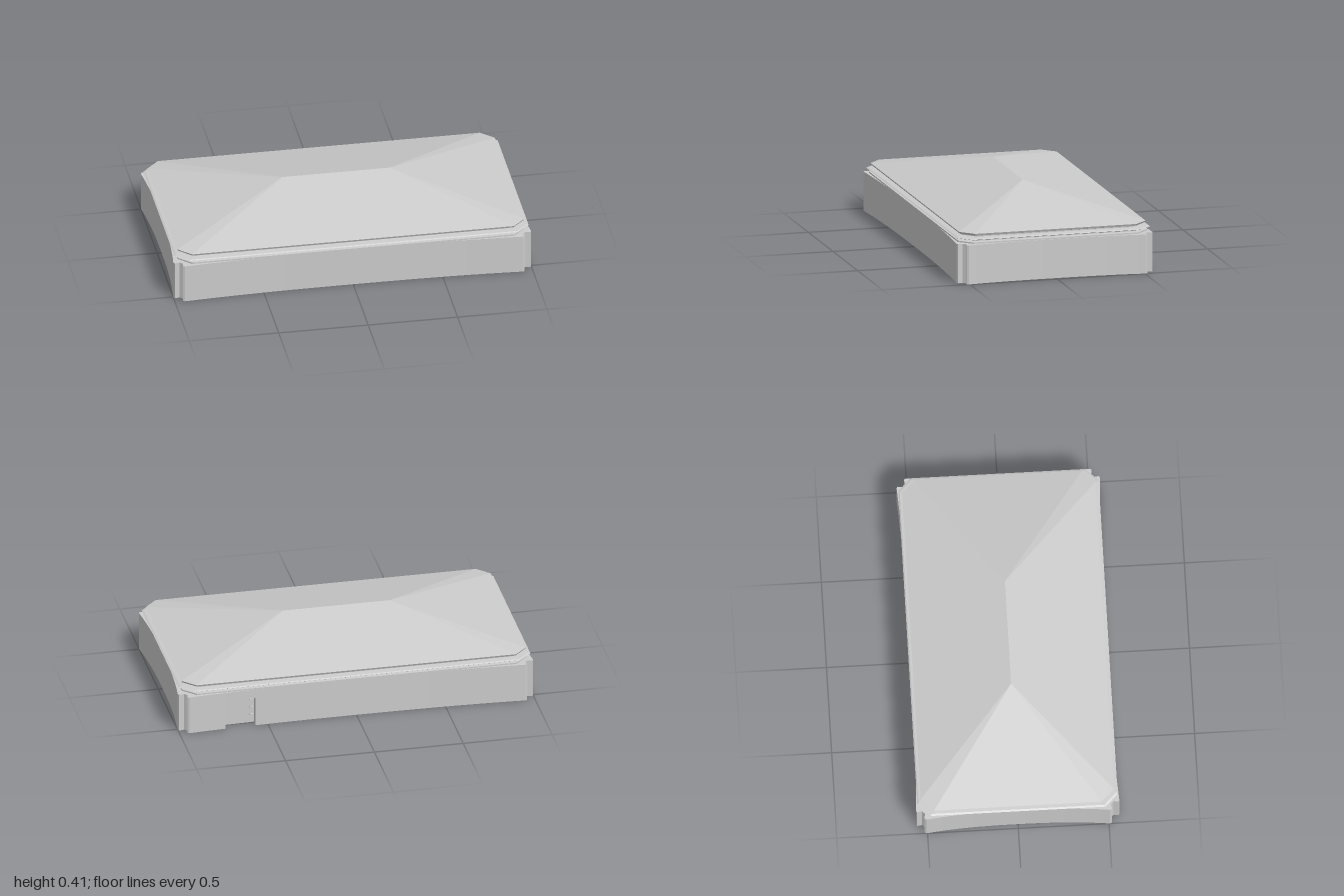
import * as THREE from 'three';

const WALL_H = 0.22;
const DOOR = { x0: 0.57, x1: 0.74, depth: 0.045, spring: 0.165, top: 0.2 };
const material = new THREE.MeshStandardMaterial({ color: 0xcccccc, flatShading: true });

// Walls bow gently inward between their flared ends.
const flare = (t) => 0.025 * Math.pow(Math.abs(t), 2.5);
const backWall = (x) => 0.535 + flare(x / 0.945);

function addMesh(parent, geometry, name) {
  const mesh = new THREE.Mesh(geometry, material);
  mesh.name = name;
  parent.add(mesh);
  return mesh;
}

// Chamfered rectangle at height y; the long sides keep their chamfer start.
function octagon(y, hx, hz, c = 0.07) {
  const a = hx - c, b = hz - c;
  return [[-a, hz], [a, hz], [hx, b], [hx, -b], [a, -hz], [-a, -hz], [-hx, -b], [-hx, b]]
    .map(([x, z]) => new THREE.Vector3(x, y, z));
}

// Skin between successive rings, from bottom to top.
function loft(rings) {
  const points = [];
  for (let r = 0; r < rings.length - 1; r++) {
    const low = rings[r], high = rings[r + 1], n = low.length;
    for (let i = 0; i < n; i++) {
      const j = (i + 1) % n;
      if (low[i].distanceTo(low[j]) > 1e-5) points.push(low[i], low[j], high[j]);
      if (high[i].distanceTo(high[j]) > 1e-5) points.push(low[i], high[j], high[i]);
    }
  }
  const geometry = new THREE.BufferGeometry().setFromPoints(points);
  geometry.computeVertexNormals();
  return geometry;
}

// Plan outline: four bowed walls, notched corners and the door recess.
function footprint() {
  const pts = [];
  const steps = 24;
  const along = (half, base, place) => {
    for (let i = 0; i <= steps; i++) {
      const t = (2 * i) / steps - 1;
      pts.push(place(t * half, base + flare(t)));
    }
  };
  const corner = (sx, sy, flip) => {
    const notch = [[0.955, 0.555], [0.95, 0.528], [0.966, 0.512], [0.994, 0.517]];
    if (flip) notch.reverse();
    notch.forEach(([x, y]) => pts.push([sx * x, sy * y]));
  };
  along(0.945, 0.535, (s, d) => [s, -d]);
  corner(1, -1, false);
  along(0.505, 0.975, (s, d) => [d, s]);
  corner(1, 1, true);
  const { x0, x1, depth } = DOOR;
  let cut = false;
  along(0.945, 0.535, (s, d) => [-s, d]);
  const back = pts.splice(pts.length - steps - 1);
  back.forEach(([x, y]) => {
    if (x < x1 && !cut) {
      pts.push([x1, backWall(x1)], [x1, backWall(x1) - depth],
        [x0, backWall(x0) - depth], [x0, backWall(x0)]);
      cut = true;
    }
    if (x > x1 || x < x0) pts.push([x, y]);
  });
  corner(-1, 1, false);
  along(0.505, 0.975, (s, d) => [-d, -s]);
  corner(-1, -1, true);
  return new THREE.Shape(pts.map(([x, y]) => new THREE.Vector2(x, y)));
}

// Arched head closing the recess above the doorway, with small hinges inside.
function createDoorway() {
  const { x0, x1, depth, spring, top } = DOOR;
  const group = new THREE.Group();
  group.name = 'doorway';
  const z0 = backWall(x0), z1 = backWall(x1);
  const half = Math.hypot(x1 - x0, z1 - z0) / 2;
  const head = new THREE.Shape();
  head.moveTo(-half, spring);
  head.quadraticCurveTo(0, 2 * top - spring, half, spring);
  head.lineTo(half, WALL_H);
  head.lineTo(-half, WALL_H);
  addMesh(group, new THREE.ExtrudeGeometry(head, { depth, bevelEnabled: false, curveSegments: 12 }), 'doorArch');
  for (const y of [0.05, 0.095, 0.14]) {
    const hinge = addMesh(group, new THREE.BoxGeometry(0.02, 0.008, 0.008), 'doorHinge');
    hinge.position.set(-half + 0.012, y, depth - 0.004);
  }
  group.position.set((x0 + x1) / 2, 0, -(z0 + z1) / 2);
  group.rotation.y = Math.atan2(z1 - z0, x1 - x0);
  return group;
}

export function createModel() {
  const model = new THREE.Group();
  model.name = 'hippedRoofBuilding';

  const walls = new THREE.ExtrudeGeometry(footprint(), { depth: WALL_H, bevelEnabled: false });
  walls.rotateX(-Math.PI / 2);
  addMesh(model, walls, 'walls');
  model.add(createDoorway());

  // Stepped cornice: slab, neck, thin projecting rim and upper neck
  const profile = [
    [0.218, 0.92, 0.48], [0.218, 0.97, 0.54], [0.228, 0.97, 0.54], [0.23, 0.945, 0.51],
    [0.24, 0.945, 0.51], [0.243, 0.98, 0.545], [0.247, 0.99, 0.552], [0.251, 0.98, 0.545],
    [0.254, 0.945, 0.51], [0.262, 0.945, 0.51],
  ];
  addMesh(model, loft(profile.map(([y, hx, hz]) => octagon(y, hx, hz))), 'cornice');

  // Hipped roof with a short ridge
  const eave = octagon(0.276, 0.97, 0.532);
  const ridge = eave.map((p) => new THREE.Vector3(Math.sign(p.x) * 0.3, 0.41, 0));
  addMesh(model, loft([
    octagon(0.26, 0.945, 0.51), octagon(0.265, 0.965, 0.527), eave, ridge,
  ]), 'roof');

  return model;
}
